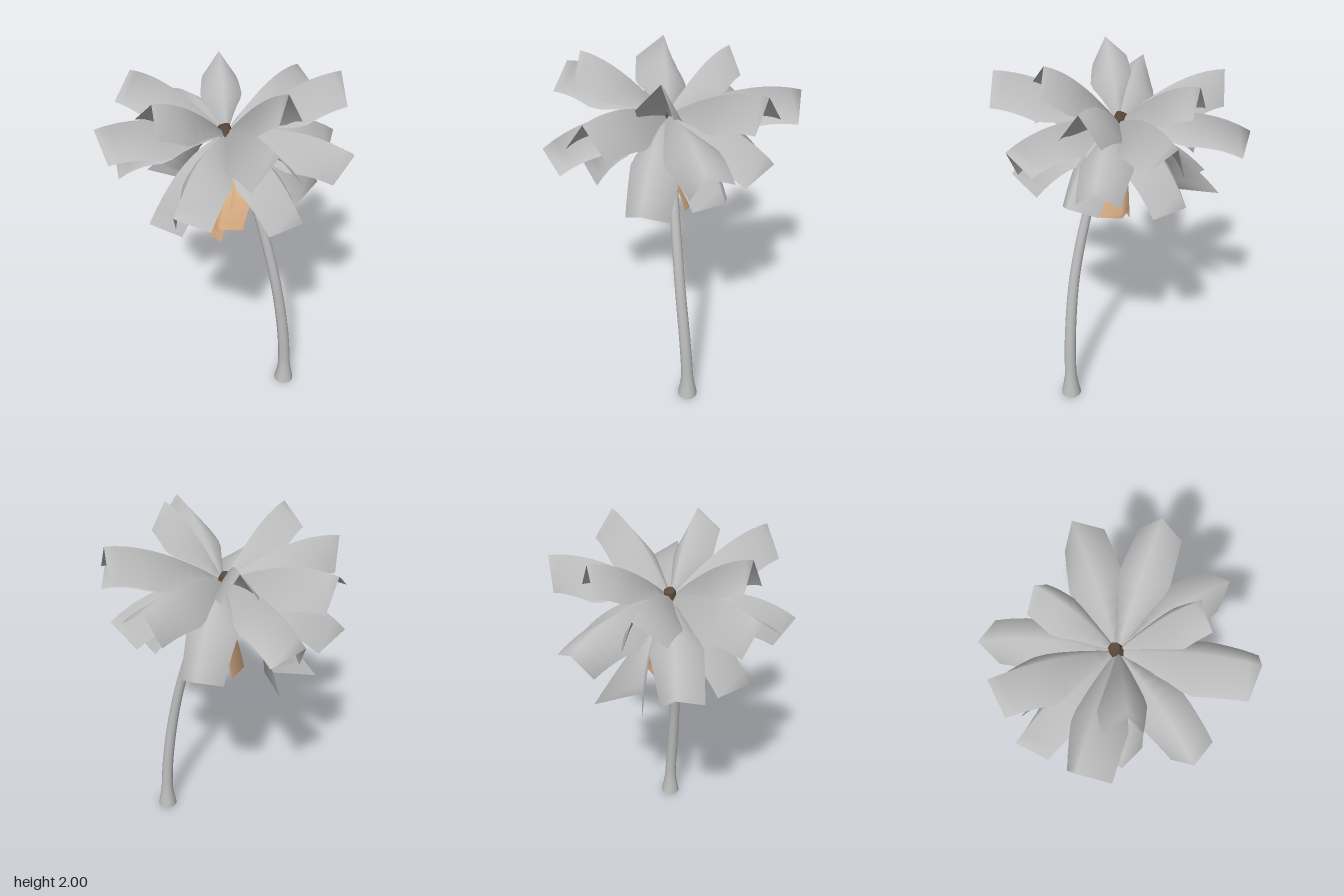
import * as THREE from 'three';

const UP = new THREE.Vector3(0, 1, 0);
const material = (name, color, side = THREE.FrontSide) => {
  const m = new THREE.MeshStandardMaterial({ color, side });
  m.name = name;
  return m;
};

// Blade width along its length: a stalk opening before the middle, or a late flare
const openEarly = t => Math.min(1, 0.06 + t * 2.1);
const openLate = t => 0.06 + 0.94 * t ** 2.5;

// A folded leaf blade swept along an arching curve; roll tips it to its right
function bladeGeometry(start, control, tip, half, drop, roll, opening = openEarly) {
  const curve = new THREE.QuadraticBezierCurve3(start, control, tip);
  const out = tip.clone().sub(start).setY(0).normalize();
  const side = new THREE.Vector3().crossVectors(out, UP).normalize();
  const geo = new THREE.PlaneGeometry(2, 1, 2, 10);
  const pos = geo.attributes.position;
  for (let i = 0; i < pos.count; i++) {
    const s = pos.getX(i);
    const t = pos.getY(i) + 0.5;
    const normal = new THREE.Vector3().crossVectors(side, curve.getTangent(t)).normalize();
    const a = roll * t;
    const across = side.clone().multiplyScalar(Math.cos(a)).addScaledVector(normal, -Math.sin(a));
    const lift = normal.multiplyScalar(Math.cos(a)).addScaledVector(side, Math.sin(a));
    const w = opening(t);
    const p = curve.getPoint(t)
      .addScaledVector(across, s * half * w * (1 - 0.36 * Math.max(0, t - 0.5)))
      .addScaledVector(lift, -Math.abs(s) * drop * w);
    pos.setXYZ(i, p.x, p.y, p.z);
  }
  geo.computeVertexNormals();
  return geo;
}

export function createModel() {
  const group = new THREE.Group();
  const palmGrey = material('palm grey', 0xbdbdbd, THREE.DoubleSide);
  const dryTan = material('dry leaf tan', 0xe0b488, THREE.DoubleSide);
  const brown = material('crown brown', 0x5a4a3c);
  const add = (name, geo, mat, parent = group) => {
    const mesh = new THREE.Mesh(geo, mat);
    mesh.name = name;
    parent.add(mesh);
    return mesh;
  };

  // Leaning trunk: an open cylinder bent along a curve, flared at the foot
  const path = new THREE.CatmullRomCurve3([
    [0.353, 0, -0.14], [0.352, 0.15, -0.137], [0.342, 0.4, -0.12], [0.295, 0.8, -0.08],
    [0.2, 1.2, -0.038], [0.13, 1.4, -0.015], [0.02, 1.64, 0.025],
  ].map(p => new THREE.Vector3(...p)));
  const trunk = new THREE.CylinderGeometry(1, 1, 1, 16, 28, true);
  const tp = trunk.attributes.position;
  for (let i = 0; i < tp.count; i++) {
    const t = tp.getY(i) + 0.5;
    const c = path.getPointAt(t);
    const r = 0.036 - 0.014 * t + 0.021 * Math.max(0, 1 - t / 0.09) ** 1.4;
    tp.setXYZ(i, c.x + tp.getX(i) * r, c.y, c.z + tp.getZ(i) * r);
  }
  trunk.computeVertexNormals();
  add('trunk', trunk, palmGrey);

  // Dark bud where the fronds meet
  const bud = add('crownBud', new THREE.CylinderGeometry(0.029, 0.043, 0.075, 10), brown);
  bud.position.set(0.008, 1.67, 0.028);
  bud.rotation.z = 0.3;

  // Fronds: ridge tip x, y, z, roll, fold depth and half width
  const fronds = new THREE.Group();
  fronds.name = 'fronds';
  group.add(fronds);
  const crown = new THREE.Vector3(0.015, 1.66, 0.028);
  [
    // steep upper fronds
    [-0.02, 1.97, 0.47, -0.2, 0.14, 0.115], [0.39, 2.0, 0.0, -0.2, 0.14, 0.11],
    [-0.32, 1.92, -0.25, 0, 0.14, 0.11], [0.32, 1.94, -0.48, 0, 0.15, 0.13],
    // spreading fronds
    [-0.09, 1.8, -0.635, -0.3, 0.16, 0.14], [0.61, 1.89, 0.31, 0, 0.16, 0.145],
    [-0.28, 1.8, 0.62, 0.3, 0.16, 0.14], [-0.595, 1.85, 0.14, 0.3, 0.16, 0.14],
    // arching fronds
    [0.625, 1.68, -0.23, 0.4, 0.15, 0.135], [-0.64, 1.62, -0.16, -0.4, 0.15, 0.135],
    [0.27, 1.56, 0.62, 0.4, 0.15, 0.135], [0.27, 1.57, -0.53, 0, 0.15, 0.135],
    // drooping fronds
    [0.58, 1.41, 0.07, 0, 0.15, 0.135], [-0.545, 1.46, 0.33, 0.25, 0.15, 0.135],
    [-0.05, 1.31, 0.51, 0, 0.14, 0.135], [-0.21, 1.38, -0.44, 0, 0.14, 0.135],
    [0.36, 1.38, -0.31, 0, 0.14, 0.135],
  ].forEach(([x, y, z, roll, drop, half], i) => {
    const tip = new THREE.Vector3(x, y, z);
    const control = crown.clone().lerp(tip, 0.56);
    control.y = 1.69 + 0.4 * (y - 1.35);
    add('frond' + (i + 1), bladeGeometry(crown, control, tip, half, drop, roll), palmGrey, fronds);
  });

  // One hanging frond folded the other way, its corners flung outward
  add('hangingFrond', bladeGeometry(crown, new THREE.Vector3(-0.25, 1.55, 0.015),
    new THREE.Vector3(-0.28, 1.24, 0.01), 0.17, -0.23, 0, openLate), palmGrey, fronds);

  // Dry leaves hanging against the trunk
  const dry = new THREE.Group();
  dry.name = 'dryLeaves';
  group.add(dry);
  [[-0.03, 1.09, 0.15], [0.11, 1.18, 0.17], [0.035, 1.18, -0.14]].forEach(([x, y, z], i) => {
    const start = new THREE.Vector3(0.08, 1.52, 0.015);
    const tip = new THREE.Vector3(x, y, z);
    const control = new THREE.Vector3(x * 0.7 + 0.025, 1.42, z * 0.7);
    add('dryLeaf' + (i + 1), bladeGeometry(start, control, tip, 0.11, 0.085, 0), dryTan, dry);
  });

  return group;
}
